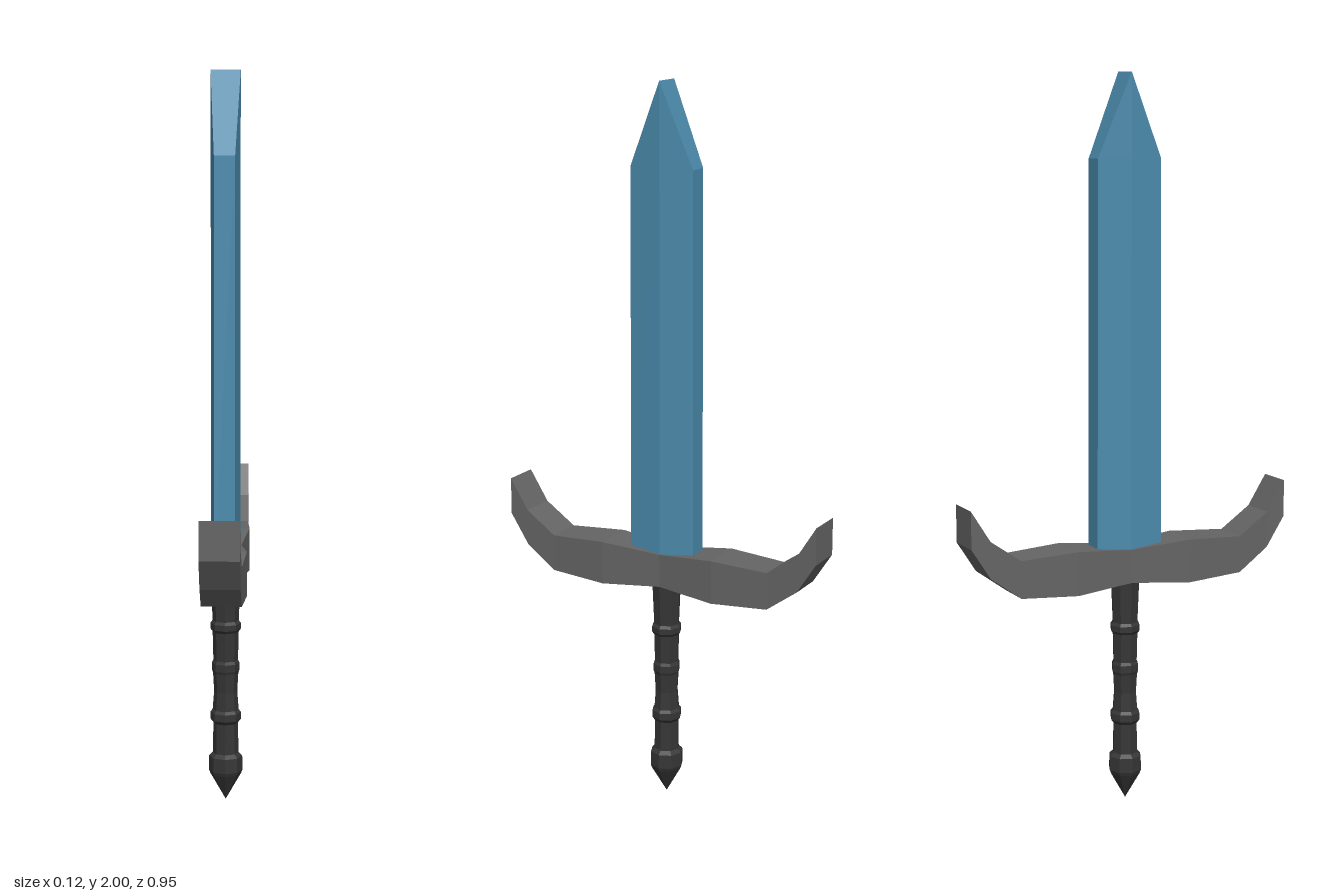
import * as THREE from 'three';

const mat = (name, color) => new THREE.MeshStandardMaterial({ name, color, flatShading: true });

// Skin a list of equal-length loops (counter-clockwise seen from the far end) and cap both ends.
function loft(loops) {
  const pos = [];
  const tri = (a, b, c) => pos.push(...a, ...b, ...c);
  const n = loops[0].length;
  for (let i = 0; i < loops.length - 1; i++) {
    for (let k = 0; k < n; k++) {
      const j = (k + 1) % n;
      const [a, b, c, d] = [loops[i][k], loops[i][j], loops[i + 1][j], loops[i + 1][k]];
      tri(a, b, c);
      tri(a, c, d);
    }
  }
  const first = loops[0], last = loops[loops.length - 1];
  for (let k = 1; k < n - 1; k++) {
    tri(first[0], first[k + 1], first[k]);
    tri(last[0], last[k], last[k + 1]);
  }
  const g = new THREE.BufferGeometry();
  g.setAttribute('position', new THREE.Float32BufferAttribute(pos, 3));
  g.computeVertexNormals();
  return g;
}

export function createModel() {
  const model = new THREE.Group();
  model.name = 'sword';
  const add = (name, geometry, material) => {
    const mesh = new THREE.Mesh(geometry, material);
    mesh.name = name;
    model.add(mesh);
  };
  const blue = mat('blueSteel', 0x4c8cae);
  const grey = mat('greyMetal', 0x656565);
  const dark = mat('darkGrip', 0x363636);

  // Blade: six-sided section, closing to a ridge across x at the tip
  const bladeLoop = (y, edgeX, halfZ) => [
    [edgeX, y, halfZ], [0.04, y, 0], [edgeX, y, -halfZ],
    [-edgeX, y, -halfZ], [-0.04, y, 0], [-edgeX, y, halfZ],
  ];
  add('blade', loft([
    bladeLoop(0.67, 0.028, 0.097),
    bladeLoop(1.775, 0.028, 0.093),
    bladeLoop(2, 0.04, 0),
  ]), blue);

  // Crossguard: upright rectangles along z, mirrored about the centre [z, bottom, top, half width]
  const half = [
    [0, 0.627, 0.72, 0.043],
    [0.17, 0.614, 0.735, 0.062],
    [0.333, 0.623, 0.726, 0.053],
    [0.42, 0.686, 0.787, 0.052],
    [0.474, 0.77, 0.873, 0.052],
  ];
  const stations = [
    ...half.slice(1).reverse().map(([z, ...rest]) => [-z, ...rest]),
    ...half,
  ];
  add('crossguard', loft(stations.map(([z, b, t, w]) => [
    [w, b, z], [w, t, z], [-w, t, z], [-w, b, z],
  ])), grey);

  // Grip with raised rings, and a pointed pommel
  const lathe = (profile) =>
    new THREE.LatheGeometry(profile.map(([r, y]) => new THREE.Vector2(r, y)), 8);
  add('grip', lathe([
    [0.036, 0.12], [0.034, 0.22], [0.042, 0.23], [0.042, 0.25], [0.036, 0.258],
    [0.032, 0.31], [0.035, 0.362], [0.038, 0.37], [0.038, 0.39], [0.034, 0.398],
    [0.036, 0.478], [0.042, 0.486], [0.042, 0.502], [0.036, 0.51], [0.042, 0.65],
  ]), dark);
  add('pommel', lathe([
    [0, 0], [0.043, 0.075], [0.047, 0.085], [0.046, 0.125], [0.036, 0.135], [0, 0.135],
  ]), dark);

  return model;
}
